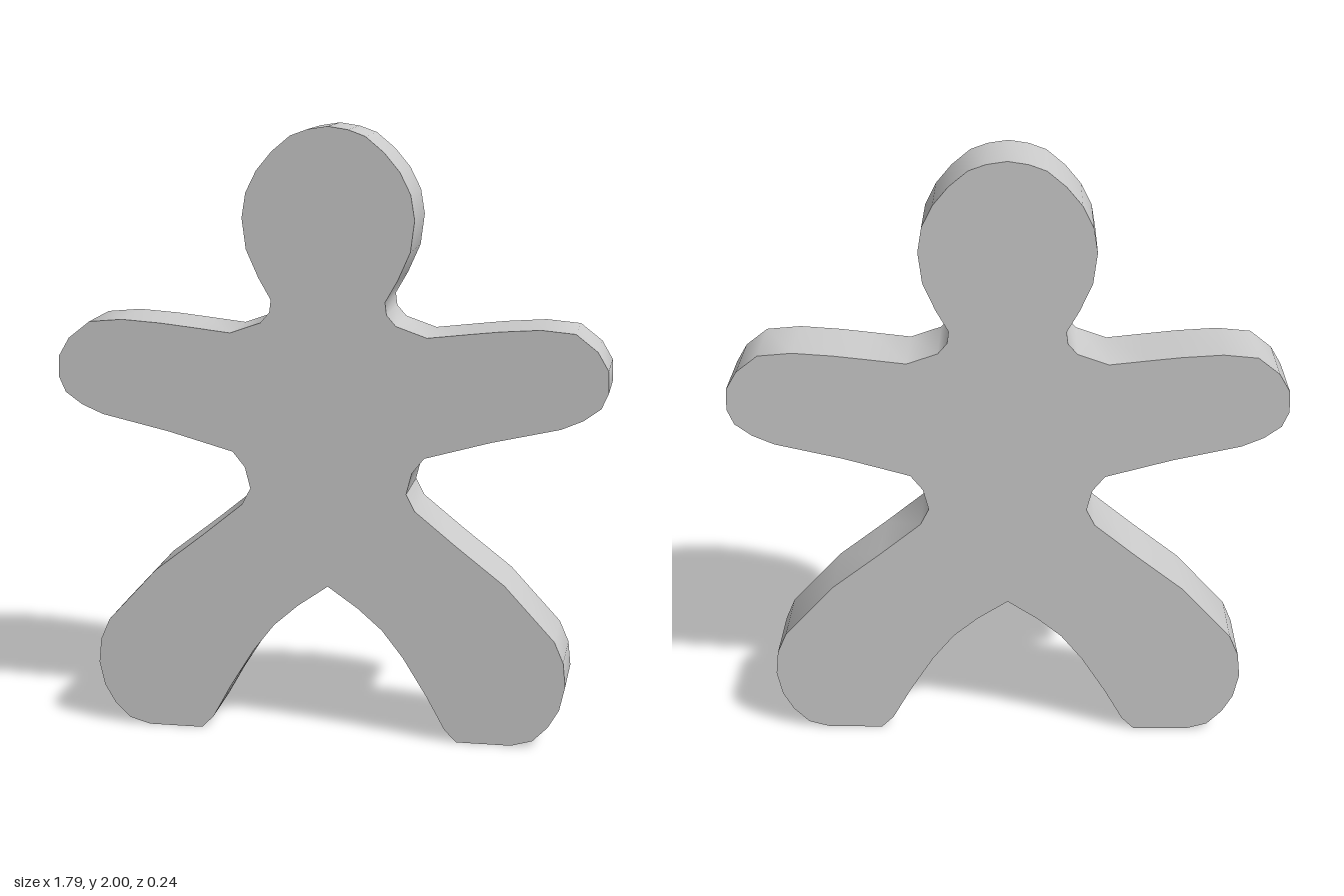
import * as THREE from 'three';
import { toCreasedNormals } from 'three/addons/utils/BufferGeometryUtils.js';

const DEPTH = 0.24;

// Half outline on the left side, from the top of the head down to the crotch
const head = [[0, 2], [0.065, 1.99], [0.12, 1.97], [0.18, 1.92], [0.23, 1.86], [0.265, 1.79],
  [0.278, 1.71], [0.265, 1.61], [0.225, 1.52], [0.185, 1.45]];
const arm = [[0.19, 1.41], [0.22, 1.375], [0.32, 1.34], [0.45, 1.355], [0.55, 1.366], [0.68, 1.375],
  [0.79, 1.365], [0.86, 1.31], [0.895, 1.25], [0.897, 1.18], [0.875, 1.13], [0.82, 1.09],
  [0.75, 1.06], [0.53, 1.01], [0.315, 0.95]];
const leg = [[0.275, 0.9], [0.257, 0.83], [0.285, 0.775], [0.42, 0.665], [0.58, 0.54], [0.745, 0.36],
  [0.775, 0.29], [0.783, 0.21], [0.765, 0.13], [0.73, 0.07], [0.68, 0.02], [0.61, 0], [0.43, 0],
  [0.39, 0.04], [0.33, 0.15], [0.25, 0.28], [0.18, 0.37], [0.1, 0.44], [0, 0.51]];

export function createModel() {
  const group = new THREE.Group();
  group.name = 'cookieFigure';

  // Mirror the half outline to close the silhouette
  const half = [...head, ...arm, ...leg];
  const mirrored = half.slice(1, -1).reverse().map(([x, y]) => [-x, y]);
  const shape = new THREE.Shape([...half, ...mirrored].map(([x, y]) => new THREE.Vector2(x, y)));
  const geometry = new THREE.ExtrudeGeometry(shape, { depth: DEPTH, bevelEnabled: false });
  geometry.translate(0, 0, -DEPTH / 2);

  // Slight draft: the back is a touch wider and its crotch sits a little lower
  const p = geometry.attributes.position;
  for (let i = 0; i < p.count; i++) {
    const x = p.getX(i), y = p.getY(i);
    if (p.getZ(i) > 0) p.setX(i, x * 0.996);
    else if (y > 0 && y < 0.52 && Math.abs(x) < 0.4) p.setY(i, y - 0.02 * (1 - Math.abs(x) / 0.4));
  }

  // Smooth around the rim, sharp at the flat faces
  const body = new THREE.Mesh(
    toCreasedNormals(geometry, 0.7),
    new THREE.MeshStandardMaterial({ color: 0xcccccc }),
  );
  body.name = 'body';
  group.add(body);
  return group;
}
